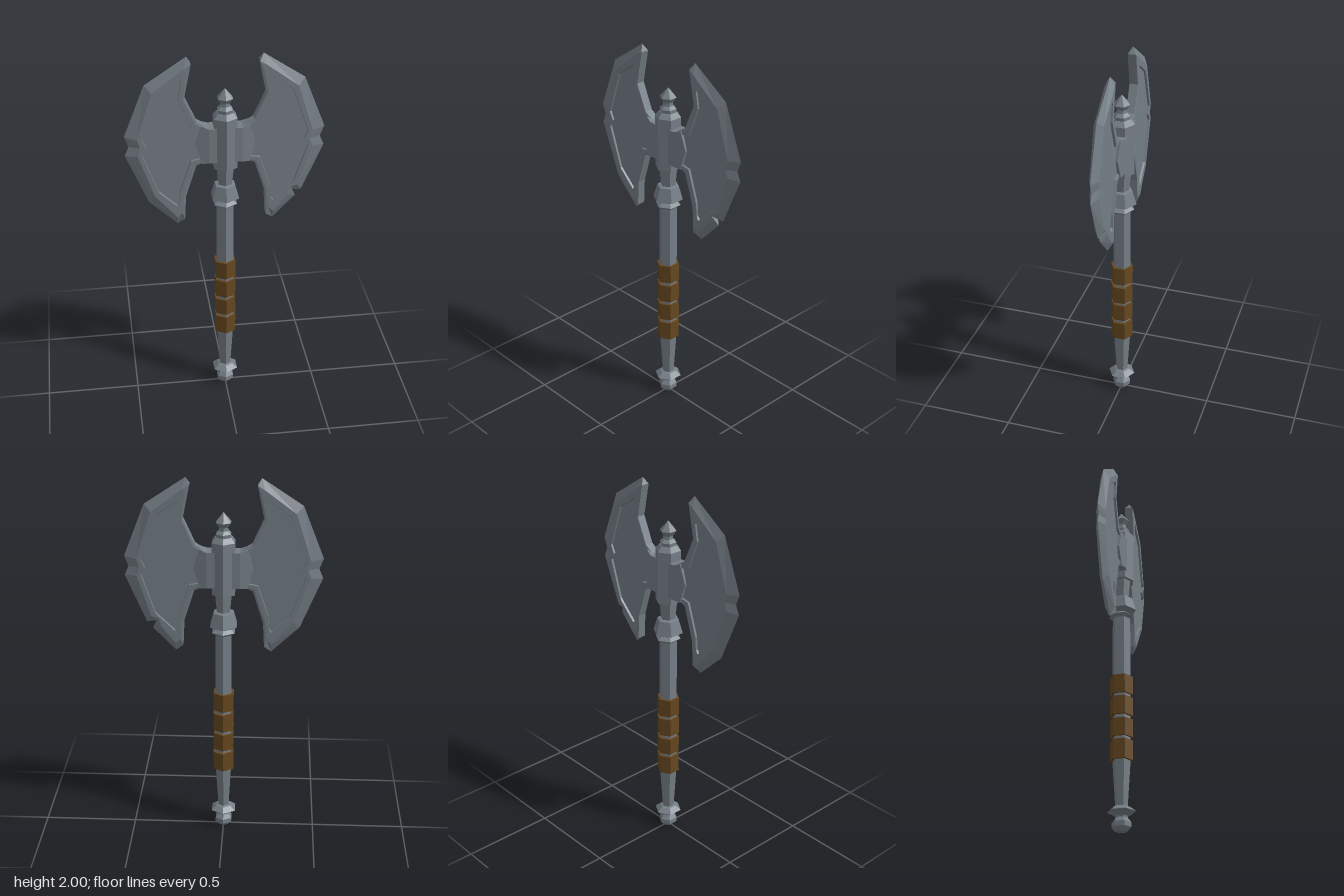
import * as THREE from 'three';

const steel = new THREE.MeshStandardMaterial({ color: 0x757e86 });
steel.name = 'steel';
const leather = new THREE.MeshStandardMaterial({ color: 0x65471f });
leather.name = 'leather';

// Faceted mesh: every face gets its own normal
function facet(name, geometry, material) {
  const g = geometry.index ? geometry.toNonIndexed() : geometry;
  g.computeVertexNormals();
  const mesh = new THREE.Mesh(g, material);
  mesh.name = name;
  return mesh;
}

// Six-sided turned part from [radius, height] pairs, bottom to top
const turned = (name, profile) =>
  facet(name, new THREE.LatheGeometry(profile.map(p => new THREE.Vector2(...p)), 6), steel);

// Blade stations, clockwise: outer edge x, y, half thickness, then rim x, y, then panel x, y
const T = 0.022;
const lowerCorner = [[0.395, 1.205, 0, 0.362, 1.245, 0.345, 1.27]];
const notchedCorner = [
  [0.4, 1.225, 0, 0.375, 1.265, 0.355, 1.285],
  [0.34, 1.24, T, 0.334, 1.25, 0.335, 1.262],
  [0.37, 1.19, 0, 0.325, 1.21, 0.32, 1.248],
];
const stations = corner => [
  [0.19, 2.0, 0, 0.205, 1.945, 0.228, 1.888],
  [0.4, 1.86, 0, 0.365, 1.825, 0.34, 1.808],
  [0.508, 1.585, 0, 0.445, 1.575, 0.423, 1.573],
  [0.487, 1.53, 0, 0.43, 1.53, 0.402, 1.53],
  [0.508, 1.48, 0, 0.445, 1.487, 0.423, 1.49],
  ...corner,
  [0.25, 1.065, 0, 0.25, 1.115, 0.25, 1.18],
  [0.212, 1.1, T, 0.225, 1.14, 0.238, 1.195],
  [0.205, 1.235, T, 0.215, 1.24, 0.232, 1.27],
  [0.15, 1.41, T, 0.158, 1.418, 0.175, 1.44],
  [0.09, 1.435, T, 0.095, 1.44, 0.117, 1.45],
  [0.09, 1.62, T, 0.095, 1.615, 0.117, 1.61],
  [0.145, 1.655, T, 0.153, 1.647, 0.172, 1.625],
  [0.205, 1.79, T, 0.213, 1.79, 0.235, 1.785],
  [0.17, 1.965, T, 0.19, 1.925, 0.22, 1.872],
];

function bladeGeometry(corner, side) {
  const s = stations(corner), n = s.length, pos = [];
  const tri = (a, b, c, flip) => {
    const order = flip !== (side < 0) ? [a, c, b] : [a, b, c];
    for (const [x, y, z] of order) pos.push(x * side, y, z);
  };
  const quad = (a, b, c, d, flip) => { tri(a, b, c, flip); tri(a, c, d, flip); };

  for (const f of [1, -1]) {
    // Cutting bevel, flat rim, recess wall
    const rings = [
      s.map(p => [p[0], p[1], f * p[2]]),
      s.map(p => [p[3], p[4], f * 0.025]),
      s.map(p => [p[5], p[6], f * 0.025]),
      s.map(p => [0.3 + (p[5] - 0.3) * 0.985, 1.53 + (p[6] - 1.53) * 0.985, f * 0.014]),
    ];
    for (let r = 0; r < 3; r++) for (let i = 0; i < n; i++) {
      const j = (i + 1) % n;
      quad(rings[r][i], rings[r + 1][i], rings[r + 1][j], rings[r][j], f < 0);
    }
    // Recessed panel
    const floor = rings[3];
    const contour = floor.map(p => new THREE.Vector2(p[0], p[1]));
    for (const [a, b, c] of THREE.ShapeUtils.triangulateShape(contour, [])) {
      const area = THREE.ShapeUtils.area([contour[a], contour[b], contour[c]]);
      tri(floor[a], floor[b], floor[c], (area < 0) !== (f < 0));
    }
  }
  // Blunt side walls
  for (let i = 0; i < n; i++) {
    const a = s[i], b = s[(i + 1) % n];
    quad([a[0], a[1], a[2]], [b[0], b[1], b[2]], [b[0], b[1], -b[2]], [a[0], a[1], -a[2]], false);
  }
  const g = new THREE.BufferGeometry();
  g.setAttribute('position', new THREE.Float32BufferAttribute(pos, 3));
  return g;
}

// Wedge joining the blade to the head, thinning outward
function armGeometry(side) {
  const outline = [[0.02, 1.43], [0.085, 1.43], [0.122, 1.425], [0.152, 1.53],
    [0.122, 1.635], [0.085, 1.62], [0.02, 1.62]];
  const shape = new THREE.Shape(outline.map(([x, y]) => new THREE.Vector2(x * side, y)));
  const g = new THREE.ExtrudeGeometry(shape, { depth: 2, bevelEnabled: false });
  const p = g.attributes.position;
  for (let i = 0; i < p.count; i++) {
    const t = THREE.MathUtils.clamp((Math.abs(p.getX(i)) - 0.085) / 0.067, 0, 1);
    p.setZ(i, (p.getZ(i) - 1) * THREE.MathUtils.lerp(0.042, 0.024, t));
  }
  return g;
}

export function createModel() {
  const axe = new THREE.Group();
  axe.name = 'doubleAxe';

  axe.add(
    turned('pommel', [[0, 0], [0.032, 0], [0.05, 0.02], [0.05, 0.045], [0.032, 0.068],
      [0.034, 0.078], [0.074, 0.1], [0.045, 0.123], [0.03, 0.128]]),
    turned('shaft', [[0.032, 0.12], [0.048, 0.37], [0.048, 1.17]]),
    turned('collar', [[0.045, 1.155], [0.05, 1.165], [0.068, 1.178], [0.045, 1.195],
      [0.055, 1.2], [0.08, 1.212], [0.058, 1.285], [0.038, 1.29]]),
    turned('neck', [[0.038, 1.28], [0.05, 1.395]]),
    turned('headBlock', [[0, 1.39], [0.068, 1.39], [0.068, 1.67], [0.046, 1.695], [0, 1.695]]),
    turned('finial', [[0.042, 1.69], [0.044, 1.712], [0.027, 1.728], [0.025, 1.745],
      [0.044, 1.772], [0, 1.823]]),
  );

  // Leather grip bands
  const bands = [[0.365, 0.47], [0.49, 0.585], [0.605, 0.705], [0.725, 0.825]];
  bands.forEach(([low, high], i) => {
    const band = facet('gripBand', new THREE.CylinderGeometry(0.061, 0.061, high - low, 6), leather);
    band.position.y = (low + high) / 2;
    band.rotation.z = i % 2 ? 0.025 : -0.025;
    axe.add(band);
  });

  // Blades: the left one is notched
  for (const [label, side, corner] of [['left', 1, notchedCorner], ['right', -1, lowerCorner]]) {
    axe.add(facet(label + 'Blade', bladeGeometry(corner, side), steel));
    axe.add(facet(label + 'Arm', armGeometry(side), steel));
  }
  return axe;
}
